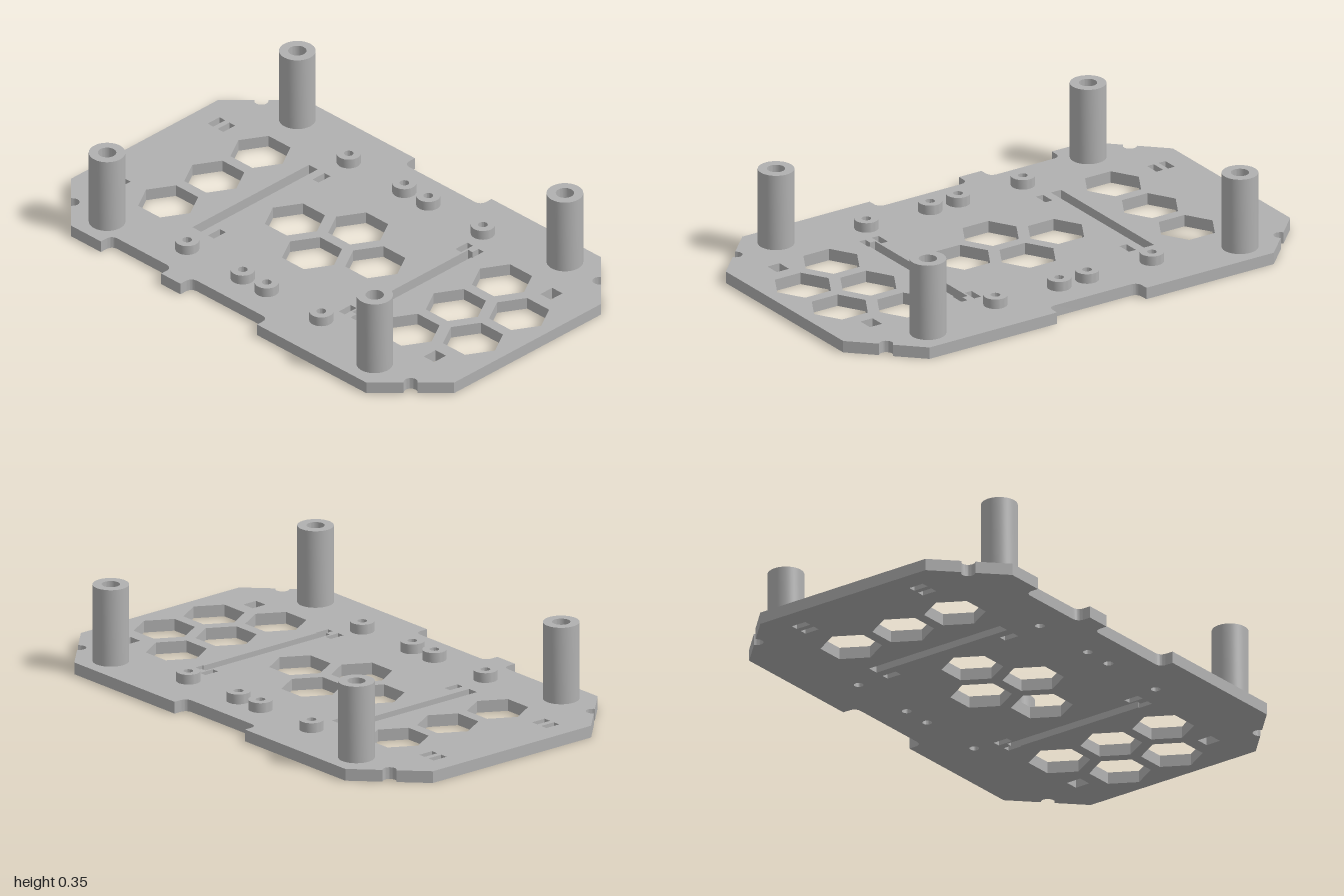
import * as THREE from 'three';
import { toCreasedNormals } from 'three/addons/utils/BufferGeometryUtils.js';

const T = 0.046;              // plate thickness
const W = 0.614, IN = 0.556;  // half width, half width inside the side recesses
const BOSS_X = 0.423, BOSS_Z = [-0.355, -0.065, 0.06, 0.345], BORE = 0.018;

// Chamfered corner with a round notch in its middle
function corner(s, x0, z0, x1, z1) {
  const t = new THREE.Vector2(x1 - x0, z1 - z0).normalize();
  const n = new THREE.Vector2(Math.sign(x0), Math.sign(z0)).multiplyScalar(Math.SQRT1_2);
  const c = new THREE.Vector2(Math.sign(x0) * 0.494, Math.sign(z0) * 0.882);
  const r = 0.026, lip = 0.006;
  const put = (a, b) => s.lineTo(c.x + t.x * a + n.x * b, c.y + t.y * a + n.y * b);
  s.lineTo(x0, z0);
  put(-r, lip);
  for (let i = 0; i <= 12; i++) {
    const a = (i / 12) * Math.PI;
    put(-r * Math.cos(a), -r * Math.sin(a));
  }
  put(r, lip);
  s.lineTo(x1, z1);
}

// Side recess with rounded inner corners, running from z0 to z1
function recess(s, side, z0, z1) {
  const d = Math.sign(z1 - z0) * 0.032, x = side * IN, xr = side * (IN + 0.032);
  s.lineTo(side * W, z0);
  s.lineTo(xr, z0);
  s.quadraticCurveTo(x, z0, x, z0 + d);
  s.lineTo(x, z1 - d);
  s.quadraticCurveTo(x, z1, xr, z1);
  s.lineTo(side * W, z1);
}

const poly = (pts) => new THREE.Path(pts.map(([x, z]) => new THREE.Vector2(x, z)));
const rect = (x0, x1, z0, z1) => poly([[x0, z0], [x0, z1], [x1, z1], [x1, z0]]);
function hexagon(x, z) {
  const pts = [];
  for (let i = 0; i < 6; i++) {
    const a = Math.PI / 2 - i * Math.PI / 3;
    pts.push([x + 0.115 * Math.cos(a), z + 0.115 * Math.sin(a)]);
  }
  return poly(pts);
}

function plateGeometry() {
  const s = new THREE.Shape();
  s.moveTo(-0.385, -1);
  corner(s, 0.385, -1, W, -0.77);
  recess(s, 1, -0.2, 0.2);
  corner(s, W, 0.77, 0.385, 1);
  corner(s, -0.385, 1, -W, 0.77);
  recess(s, -1, 0.2, -0.2);
  recess(s, -1, -0.3, -0.615);
  corner(s, -W, -0.77, -0.385, -1);

  // Hexagonal windows
  const hexes = [[0, -0.215], [-0.121, -0.005], [0.121, -0.005], [0, 0.205],
    [-0.121, 0.835], [0.121, 0.835]];
  for (const x of [-0.242, 0, 0.242]) hexes.push([x, -0.635], [x, 0.625]);
  for (const [x, z] of hexes) s.holes.push(hexagon(x, z));

  // Long slots
  s.holes.push(rect(-0.305, 0.305, -0.445, -0.4));
  s.holes.push(poly([[-0.303, 0.388], [0.303, 0.388], [0.303, 0.41], [0.335, 0.41],
    [0.335, 0.437], [0.275, 0.437], [0.275, 0.432], [-0.275, 0.432],
    [-0.275, 0.437], [-0.335, 0.437], [-0.335, 0.41], [-0.303, 0.41]]));

  // Small openings and screw bores, mirrored
  for (const m of [-1, 1]) {
    const small = (cx, z0, z1) => s.holes.push(rect(m * cx - 0.031, m * cx + 0.031, z0, z1));
    small(0.274, -0.912, -0.882);
    small(0.274, -0.86, -0.83);
    small(0.274, -0.364, -0.333);
    small(0.305, 0.35, 0.38);
    small(0.305, 0.793, 0.847);
    for (const z of BOSS_Z) {
      const hole = new THREE.Path();
      hole.absarc(m * BOSS_X, z, BORE, 0, Math.PI * 2, true);
      s.holes.push(hole);
    }
  }
  const g = new THREE.ExtrudeGeometry(s, { depth: T, bevelEnabled: false, curveSegments: 12 });
  g.rotateX(Math.PI / 2);
  g.translate(0, T, 0);
  return toCreasedNormals(g, 0.6);
}

// Upright tube standing on the plate, optionally closed at the bottom of its bore
function tubeGeometry(outer, inner, top, closed) {
  const pts = [[outer, T], [outer, top], [inner, top], [inner, T + 0.001]];
  if (closed) pts.push([0, T + 0.001]);
  const g = new THREE.LatheGeometry(pts.map(([x, y]) => new THREE.Vector2(x, y)), 40);
  return toCreasedNormals(g, 0.6);
}

export function createModel() {
  const model = new THREE.Group();
  model.name = 'chassisPlate';
  const grey = new THREE.MeshStandardMaterial({ color: 0xb0b0b0 });
  grey.name = 'grey';

  const add = (name, geometry, x = 0, z = 0) => {
    const mesh = new THREE.Mesh(geometry, grey);
    mesh.name = name;
    mesh.position.set(x, 0, z);
    model.add(mesh);
  };

  add('basePlate', plateGeometry());

  // Four tall standoffs and eight low screw bosses
  const standoff = tubeGeometry(0.068, 0.034, 0.346, true);
  const boss = tubeGeometry(0.045, BORE, 0.084, false);
  for (const m of [-1, 1]) {
    for (const z of [-0.698, 0.698]) add('standoff', standoff, m * 0.498, z);
    for (const z of BOSS_Z) add('screwBoss', boss, m * BOSS_X, z);
  }
  return model;
}
